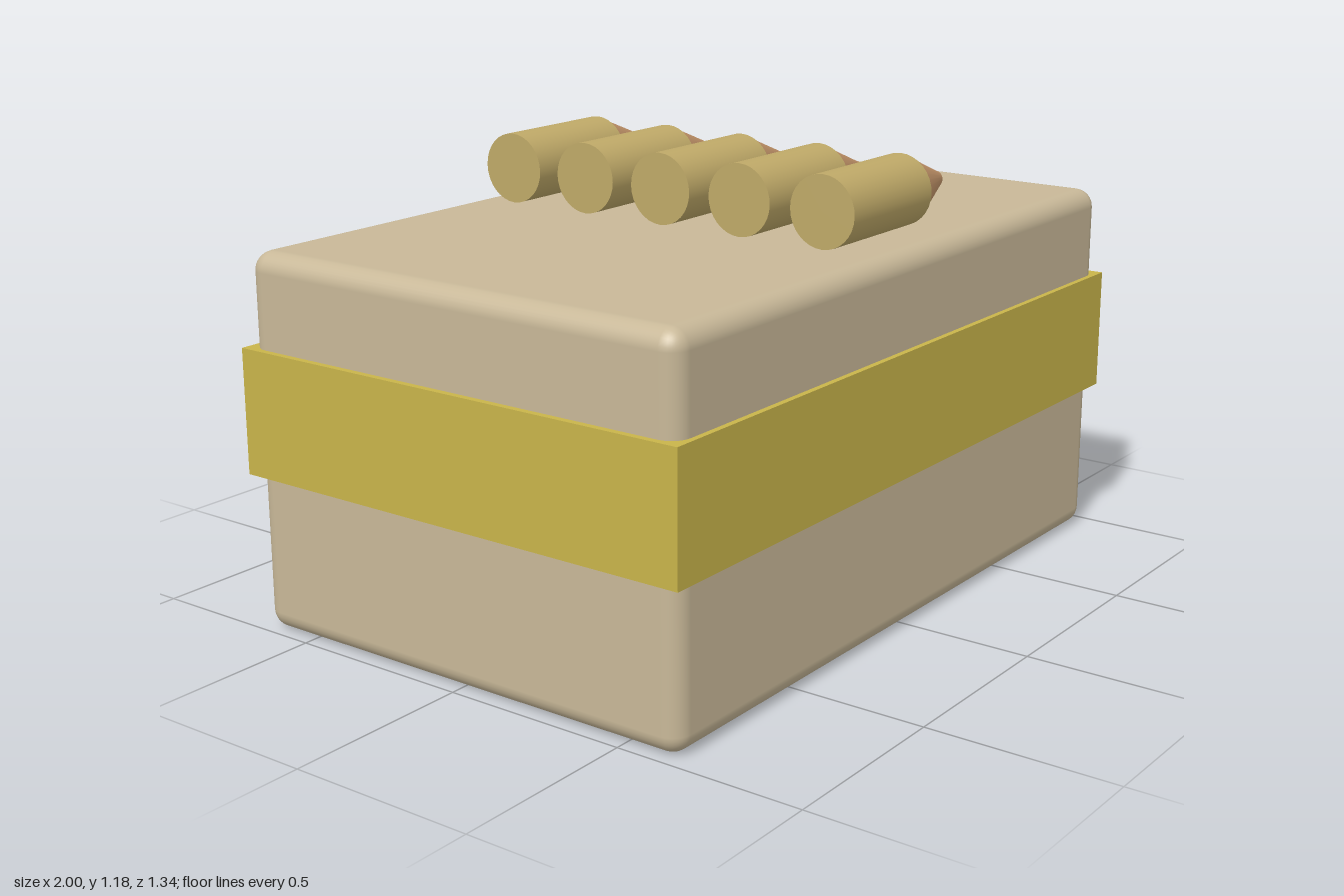
import * as THREE from 'three';
import { RoundedBoxGeometry } from 'three/addons/geometries/RoundedBoxGeometry.js';

function material(name, color) {
  const m = new THREE.MeshStandardMaterial({ color });
  m.name = name;
  return m;
}

function part(name, geometry, mat, x, y, z) {
  const mesh = new THREE.Mesh(geometry, mat);
  mesh.name = name;
  mesh.position.set(x, y, z);
  return mesh;
}

export function createModel() {
  const cardboard = material('tan cardboard', 0xc8b898);
  const yellow = material('yellow band', 0xc8b44a);
  const brass = material('brass', 0xbfa968);
  const copper = material('copper', 0xc4956a);

  const model = new THREE.Group();
  model.name = 'ammunitionBox';

  // Soft-edged carton with a wrapped band
  model.add(part('carton', new RoundedBoxGeometry(1.966, 0.985, 1.314, 4, 0.05), cardboard, 0, 0.4925, 0));
  model.add(part('band', new THREE.BoxGeometry(2, 0.328, 1.344), yellow, 0, 0.577, 0));

  // Row of cartridges on the lid, tips towards +x
  const casing = new THREE.CylinderGeometry(0.093, 0.093, 0.36, 32).rotateZ(-Math.PI / 2);
  const tip = new THREE.CylinderGeometry(0.02, 0.089, 0.18, 32).rotateZ(-Math.PI / 2);
  for (let i = -2; i <= 2; i++) {
    const cartridge = new THREE.Group();
    cartridge.name = 'cartridge' + (i + 3);
    cartridge.position.set(0, 1.088, i * 0.246);
    cartridge.add(part('casing', casing, brass, 0, 0, 0));
    cartridge.add(part('bulletTip', tip, copper, 0.27, 0, 0));
    model.add(cartridge);
  }
  return model;
}
